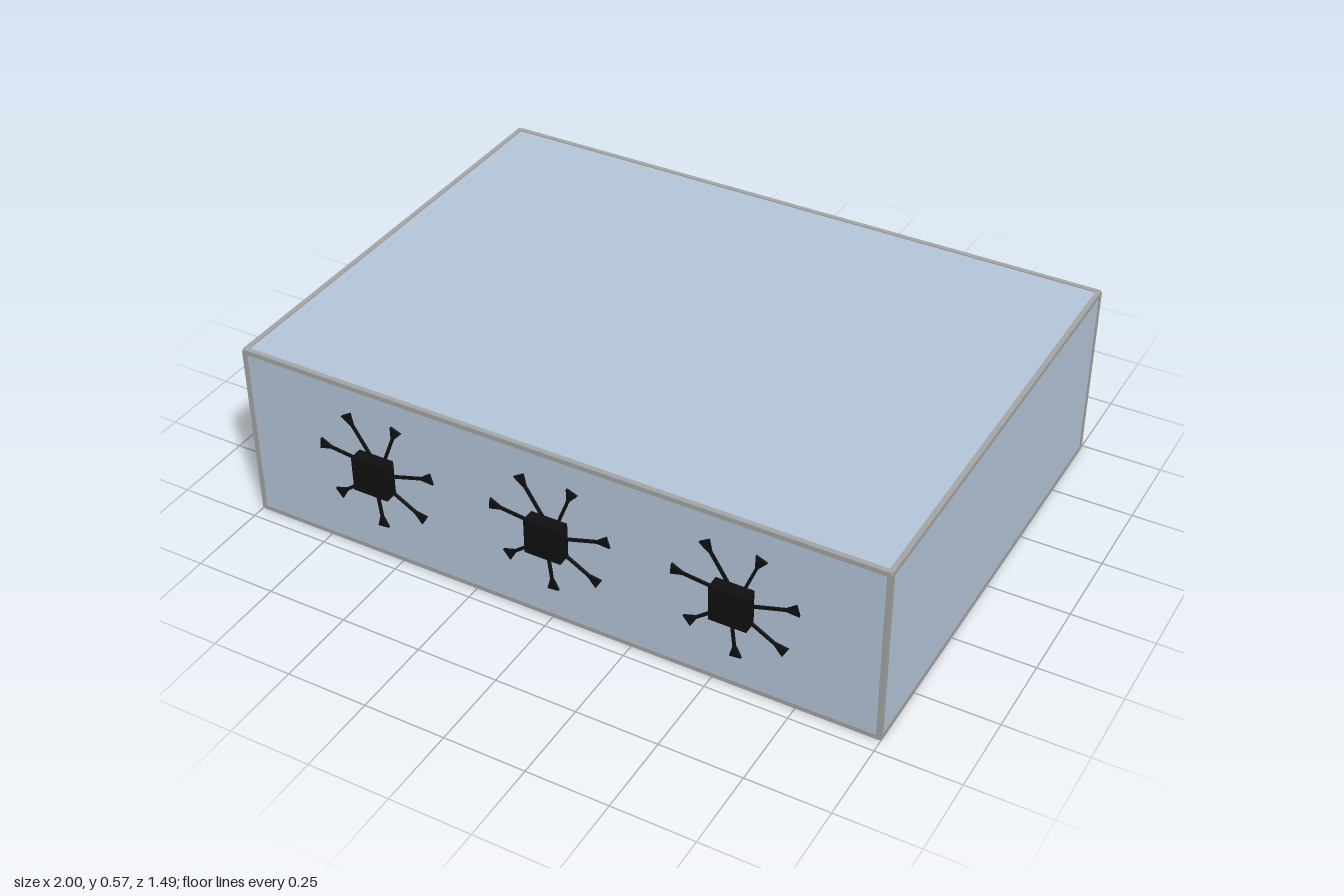
import * as THREE from 'three';

const W = 2, H = 0.567, BACK = -0.747, FRONT = 0.708, BAR = 0.015;
const D = FRONT - BACK, MID = (FRONT + BACK) / 2;

const mat = (color) => new THREE.MeshStandardMaterial({ color });

function add(parent, name, geometry, material, x = 0, y = 0, z = 0) {
  const mesh = new THREE.Mesh(geometry, material);
  mesh.name = name;
  mesh.position.set(x, y, z);
  parent.add(mesh);
  return mesh;
}

// One leg: a thin stroke from the body that ends in a flared triangular foot
function legGeometry(start, end) {
  const a = new THREE.Vector2(...start), b = new THREE.Vector2(...end);
  const dir = b.clone().sub(a).normalize();
  const side = new THREE.Vector2(-dir.y, dir.x);
  const neck = b.clone().addScaledVector(dir, -0.036);
  const at = (p, s) => p.clone().addScaledVector(side, s);
  const shape = new THREE.Shape([
    at(a, -0.004), at(neck, -0.004), at(b, -0.018),
    at(b, 0.018), at(neck, 0.004), at(a, 0.004),
  ]);
  return new THREE.ExtrudeGeometry(shape, { depth: 0.01, bevelEnabled: false });
}

export function createModel() {
  const model = new THREE.Group();
  model.name = 'case';
  const panelMat = mat(0xb6c8dc), barMat = mat(0xa6a6a6), black = mat(0x101012);

  // Panelled body, sunk slightly behind the edge bars
  add(model, 'panels', new THREE.BoxGeometry(W - 0.006, H - 0.006, D - 0.006), panelMat, 0, H / 2, MID);

  // Edge bars along all twelve edges
  const frame = new THREE.Group();
  frame.name = 'edgeFrame';
  model.add(frame);
  const ex = (W - BAR) / 2, ey = (H - BAR) / 2, ez = (D - BAR) / 2;
  for (const s of [-1, 1]) for (const t of [-1, 1]) {
    add(frame, 'widthBar', new THREE.BoxGeometry(W - 0.01, BAR, BAR), barMat, 0, H / 2 + s * ey, MID + t * ez);
    add(frame, 'heightBar', new THREE.BoxGeometry(BAR, H - 0.01, BAR), barMat, s * ex, H / 2, MID + t * ez);
    add(frame, 'depthBar', new THREE.BoxGeometry(BAR, BAR, D - 0.01), barMat, s * ex, H / 2 + t * ey, MID);
  }

  // Dark base plate
  add(model, 'basePlate', new THREE.BoxGeometry(W - 0.006, 0.006, D - 0.006), black, 0, 0.003, MID);

  // Three square knobs with seven radiating legs: [start, end] from the knob centre
  const legs = [
    [[-0.01, 0.04], [-0.09, 0.168]], [[0.025, 0.04], [0.077, 0.172]],
    [[0.04, 0], [0.185, 0.044]], [[0.035, -0.045], [0.153, -0.113]],
    [[-0.01, -0.04], [0.007, -0.19]], [[-0.04, -0.045], [-0.14, -0.125]],
    [[-0.04, 0.02], [-0.188, 0.036]],
  ].map(([a, b]) => legGeometry(a, b));
  for (const x of [-0.564, 0, 0.564]) {
    const knob = new THREE.Group();
    knob.name = 'knob';
    knob.position.set(x, 0.296, 0);
    model.add(knob);
    add(knob, 'knobBlock', new THREE.BoxGeometry(0.113, 0.113, 0.045), black, 0, 0, 0.7245);
    legs.forEach((g) => add(knob, 'knobLeg', g, black, 0, 0, 0.702));
  }
  return model;
}
